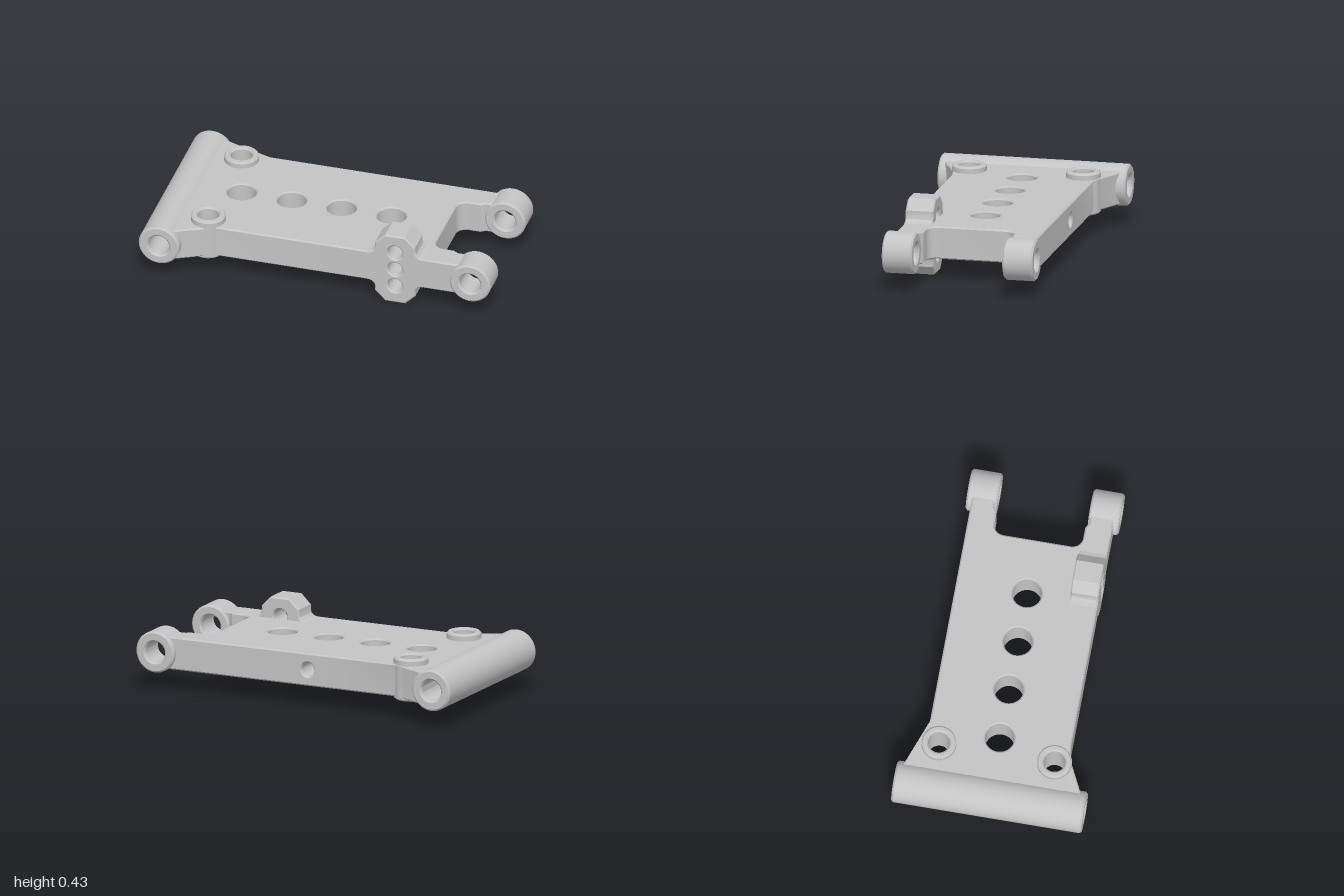
import * as THREE from 'three';
import { toCreasedNormals } from 'three/addons/utils/BufferGeometryUtils.js';

const CY = 0.215;        // height of the arm's middle plane
const THICK = 0.186;     // plate thickness

export function createModel() {
  const group = new THREE.Group();
  const grey = new THREE.MeshStandardMaterial({ color: 0xc4c4c4 });
  grey.name = 'grey plastic';

  const add = (name, geo, x = 0, y = 0, z = 0) => {
    const mesh = new THREE.Mesh(toCreasedNormals(geo, 0.5), grey);
    mesh.name = name;
    mesh.position.set(x, y, z);
    group.add(mesh);
    return mesh;
  };

  // Shape from counter-clockwise points with round holes given as [x, y, radius]
  const holedShape = (points, holes) => {
    const shape = new THREE.Shape(points.map(([x, y]) => new THREE.Vector2(x, y)));
    for (const [x, y, r] of holes) {
      shape.holes.push(new THREE.Path().absarc(x, y, r, 0, Math.PI * 2, true));
    }
    return shape;
  };

  // Extrusion of exact outer size with chamfered rims, from z = 0 to z = depth
  const chamfered = (shape, depth, b = 0.008) => new THREE.ExtrudeGeometry(shape, {
    depth: depth - 2 * b, bevelThickness: b, bevelSize: b,
    bevelOffset: -b, bevelSegments: 1, curveSegments: 24,
  }).translate(0, 0, b);

  // Bored cylinder about y with chamfered ends
  const sleeve = (r, bore, length, c = 0.01) => {
    const h = length / 2;
    const profile = [
      [bore + c, -h], [r - c, -h], [r, -h + c], [r, h - c], [r - c, h],
      [bore + c, h], [bore, h - c], [bore, -h + c], [bore + c, -h],
    ].map(([x, y]) => new THREE.Vector2(x, y));
    return new THREE.LatheGeometry(profile, 64);
  };

  // One side of the plate outline, from hinge tube to the open fork
  const side = (s, notch) => {
    const pts = [[-0.825, 0.51], [-0.6, 0.398], ...notch,
      [0.824, 0.398], [0.824, 0.268], [0.77, 0.268], [0.745, 0.25]];
    for (let i = 0; i <= 8; i++) {
      const a = Math.PI / 2 * (1 + i / 8);
      pts.push([0.68 + 0.06 * Math.cos(a), 0.19 + 0.06 * Math.sin(a)]);
    }
    return pts.map(([x, z]) => [x, z * s]);
  };
  // Pockets that receive the damper mount and the rear pin block
  const frontNotch = [[0.34, 0.398], [0.34, 0.25], [0.545, 0.25], [0.545, 0.398]];
  const rearNotch = [[-0.12, 0.398], [-0.12, 0.25], [0.02, 0.25], [0.02, 0.398]];
  const outline = [...side(-1, rearNotch), ...side(1, frontNotch).reverse()];

  // Flat plate with lightening holes and seats for the bosses
  const holes = [-0.56, -0.27, 0.017, 0.305].map((x) => [x, 0, 0.082]);
  for (const s of [1, -1]) holes.push([-0.657, s * 0.325, 0.08]);
  const plate = chamfered(holedShape(outline, holes), THICK);
  plate.rotateX(Math.PI / 2);
  add('armPlate', plate, 0, CY + THICK / 2, 0);

  // Block with a blind pin hole in the rear edge
  const y0 = CY - THICK / 2, y1 = CY + THICK / 2;
  const block = [[-0.136, y0], [0.036, y0], [0.036, y1], [-0.136, y1]];
  add('rearPinBlock', chamfered(holedShape(block, [[-0.05, CY, 0.04]]), 0.17), 0, 0, -0.398);

  // Damper mount with three holes, symmetric about both its axes
  const quarter = [[0.16, 0.093], [0.137, 0.098], [0.122, 0.112], [0.116, 0.132],
    [0.116, 0.158], [0.058, 0.215]];
  const top = [...quarter, ...quarter.map(([x, y]) => [-x, y]).reverse()];
  const mount = [...top, ...top.map(([x, y]) => [x, -y]).reverse()];
  const mountHoles = [-0.107, 0, 0.107].map((y) => [0, y, 0.042]);
  add('damperMount', chamfered(holedShape(mount, mountHoles), 0.158), 0.442, CY, 0.24);

  // Hinge tube across the inner end
  add('hingeTube', sleeve(0.117, 0.06, 1.07), -0.883, CY + 0.002, 0).rotation.x = Math.PI / 2;

  // Outer fork lugs and vertical bosses, front and rear
  for (const [s, label] of [[1, 'front'], [-1, 'rear']]) {
    add(label + 'ForkLug', sleeve(0.117, 0.06, 0.172), 0.883, CY + 0.002, s * 0.343).rotation.x = Math.PI / 2;
    add(label + 'Boss', sleeve(0.097, 0.06, 0.24), -0.657, CY + 0.01, s * 0.325);
  }
  return group;
}
